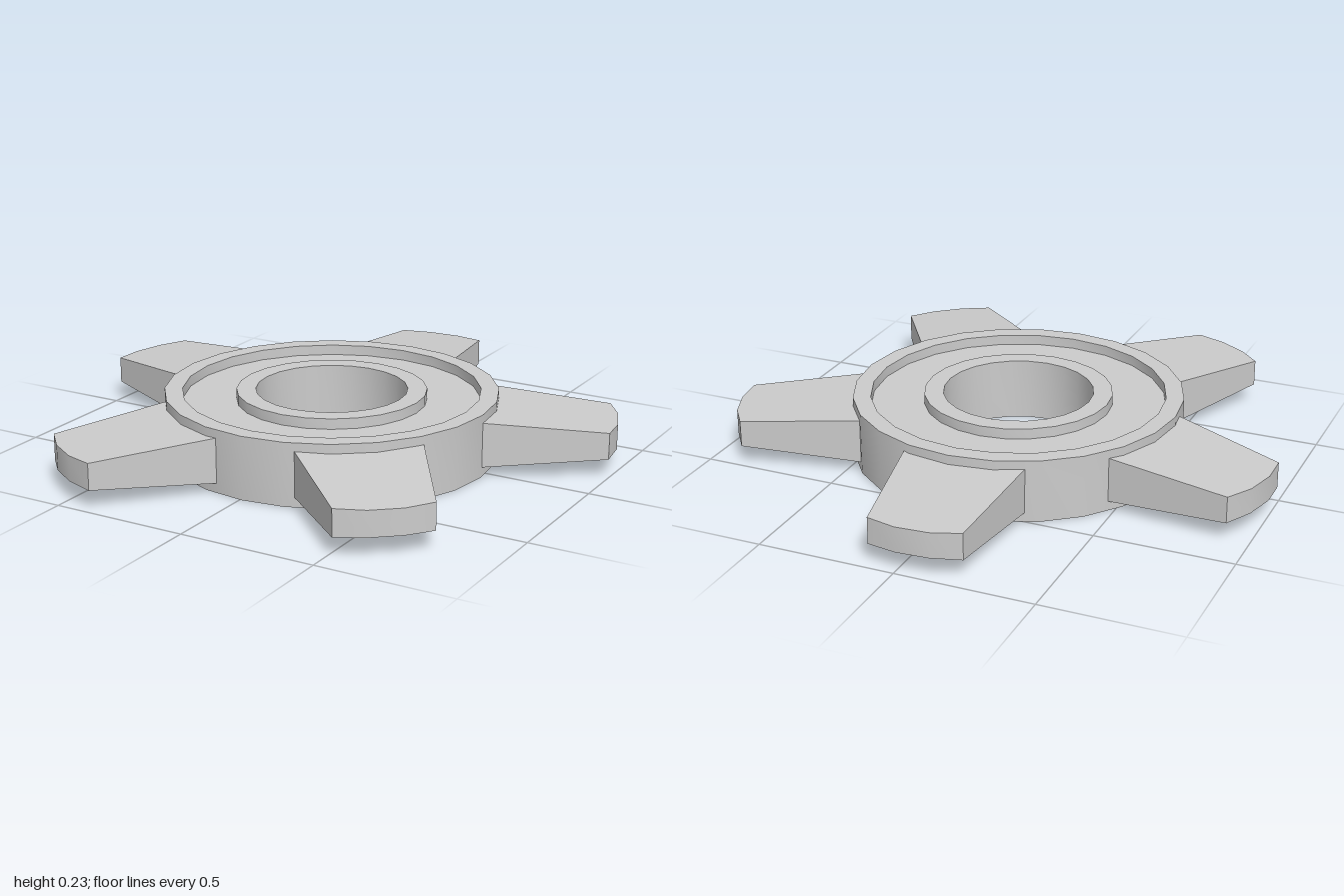
import * as THREE from 'three';
import { toCreasedNormals } from 'three/addons/utils/BufferGeometryUtils.js';

const HEIGHT = 0.23, RECESS = 0.038;
const TEETH = 5;

// Ring with a raised rim and hub on both faces, turned as one closed profile
function ringGeometry() {
  const rim = 0.605, rimInner = 0.54, hub = 0.345, bore = 0.275;
  const low = RECESS, high = HEIGHT - RECESS;
  const profile = [
    [rim, 0], [rim, HEIGHT], [rimInner, HEIGHT], [rimInner, high],
    [hub, high], [hub, HEIGHT], [bore, HEIGHT], [bore, 0],
    [hub, 0], [hub, low], [rimInner, low], [rimInner, 0], [rim, 0],
  ].map(([r, y]) => new THREE.Vector2(r, y));
  return toCreasedNormals(new THREE.LatheGeometry(profile, 24), 0.5);
}

// Tooth outline, tapering in width and in thickness towards the rounded tip
function toothGeometry() {
  const half = [[0.222, 0.545], [0.167, 1.0], [0.06, 1.028]];
  const outline = [...half, ...half.slice().reverse().map(([w, r]) => [-w, r])];
  const shape = new THREE.Shape(outline.map(([w, r]) => new THREE.Vector2(w, r)));
  const geo = new THREE.ExtrudeGeometry(shape, { depth: 1, bevelEnabled: false });
  geo.translate(0, 0, -0.5);
  const pos = geo.attributes.position;
  for (let i = 0; i < pos.count; i++) {
    const t = (pos.getY(i) - 0.565) / (1.02 - 0.565);
    pos.setZ(i, pos.getZ(i) * THREE.MathUtils.lerp(0.163, 0.094, t));
  }
  geo.rotateX(-Math.PI / 2);
  return toCreasedNormals(geo, 0.35);
}

export function createModel() {
  const group = new THREE.Group();
  group.name = 'toothedWheel';
  const material = new THREE.MeshStandardMaterial({ color: 0xcccccc });

  const wheel = new THREE.Group();
  wheel.name = 'wheel';
  wheel.position.set(0.008, 0, 0.044);
  group.add(wheel);

  const ring = new THREE.Mesh(ringGeometry(), material);
  ring.name = 'ring';
  wheel.add(ring);

  // Five evenly spaced teeth
  const tooth = toothGeometry();
  for (let i = 0; i < TEETH; i++) {
    const mesh = new THREE.Mesh(tooth, material);
    mesh.name = `tooth${i + 1}`;
    mesh.position.y = 0.117;
    mesh.rotation.y = THREE.MathUtils.degToRad(3.8 - (360 / TEETH) * i);
    wheel.add(mesh);
  }
  return group;
}
